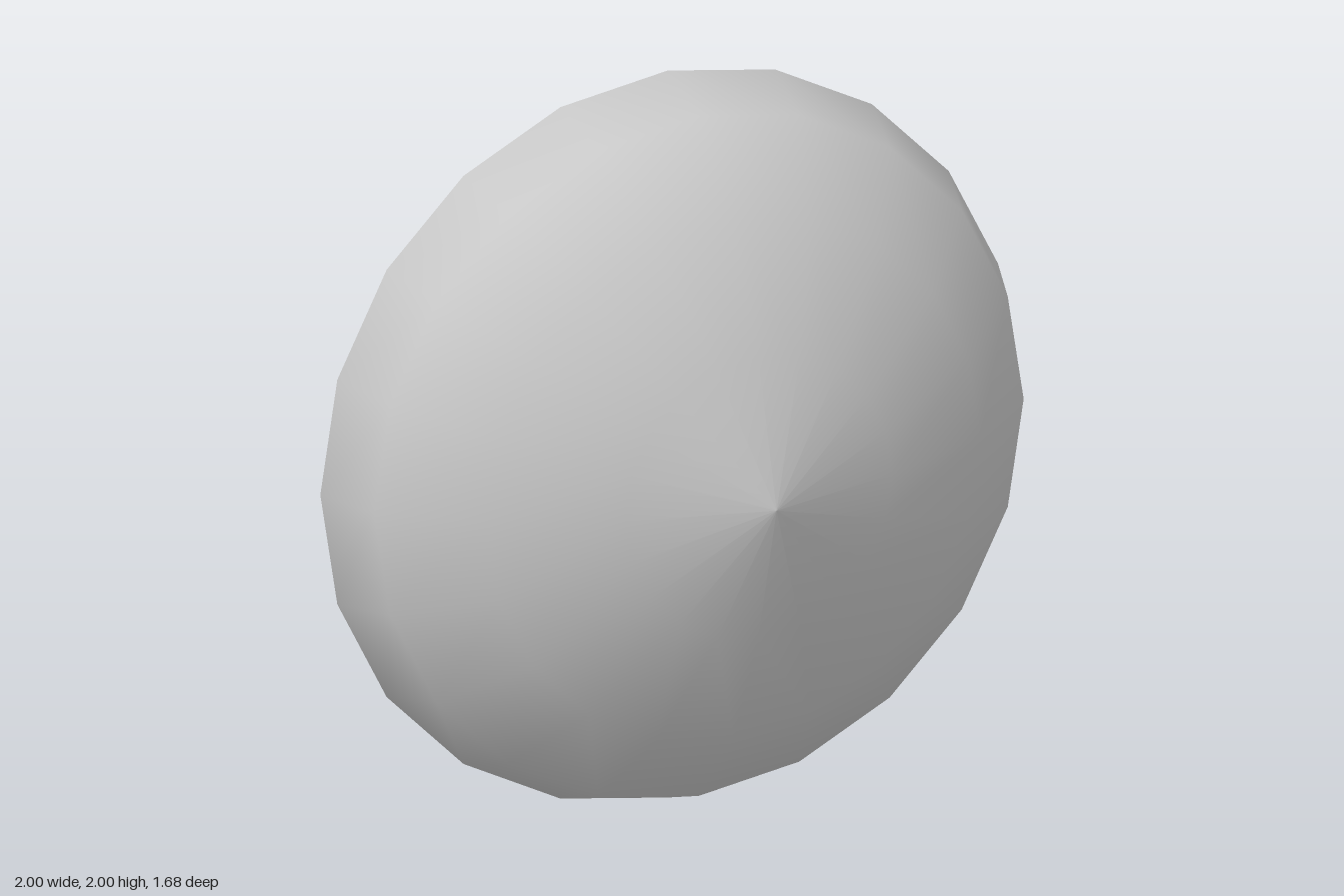
import * as THREE from 'three';

export function createModel() {
  const group = new THREE.Group();
  group.name = 'mushroomKnob';

  // Profile [radius, z] from the open stem end, over the rim, to the domed tip
  const profile = [
    [0.157, -0.84], [0.262, -0.515], [0.3, -0.185], [0.393, -0.02],
    [0.867, 0.068], [1, 0.212], [0.935, 0.392], [0.71, 0.592],
    [0.385, 0.735], [0, 0.84],
  ].map(([r, z]) => new THREE.Vector2(r, z));

  // Lathe turned so its axis runs front to back
  const geometry = new THREE.LatheGeometry(profile, 20);
  geometry.rotateX(Math.PI / 2);

  // Open stem shows its inside, so both sides are drawn
  const material = new THREE.MeshStandardMaterial({ color: 0xcccccc, side: THREE.DoubleSide });
  const body = new THREE.Mesh(geometry, material);
  body.name = 'domedHeadAndStem';
  body.position.y = 1;
  group.add(body);
  return group;
}
